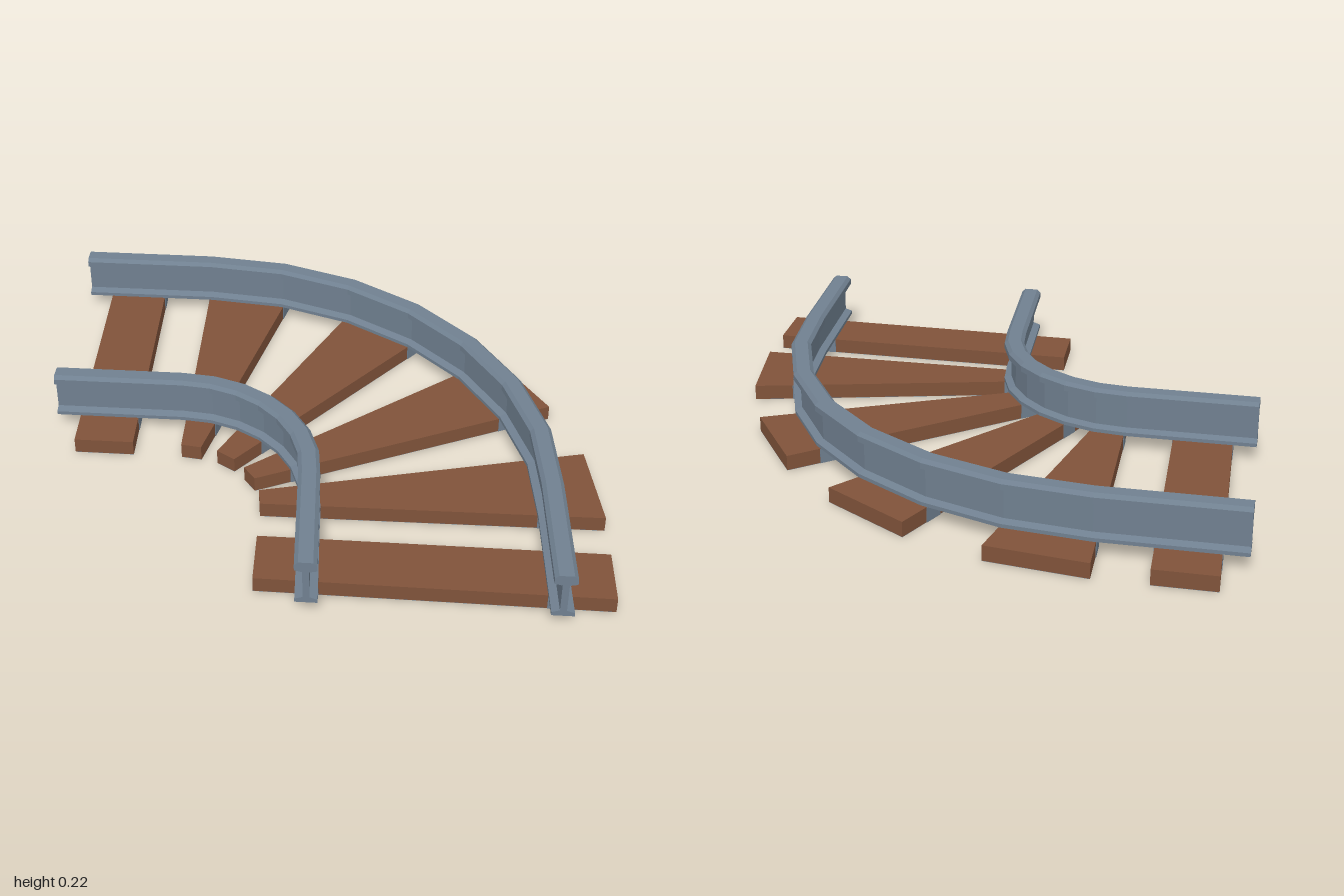
import * as THREE from 'three';

const steel = new THREE.MeshStandardMaterial({ color: 0x708090, flatShading: true });
const wood = new THREE.MeshStandardMaterial({ color: 0x80533a, flatShading: true });

// Centre of the bend, and the two rail radii
const CX = -0.51, CZ = 0.5;
const INNER = 0.495, OUTER = 1.3, HALF = 0.037;
const DRIFT = 0.028, RUN = 0.465; // the straight at the front splays slightly

// Distance of a point from the line the rails bend around
function trackRadius(x, z) {
  if (x < CX) return CZ - z;
  if (z > CZ) return x - CX - DRIFT * (z - CZ) / RUN;
  return Math.hypot(x - CX, z - CZ);
}

// Upright prism over a plan outline of [x, z] corners
function prism(corners, y0, y1, material, name) {
  const shape = new THREE.Shape(corners.map(([x, z]) => new THREE.Vector2(x, -z)));
  const geo = new THREE.ExtrudeGeometry(shape, { depth: y1 - y0, bevelEnabled: false });
  geo.rotateX(-Math.PI / 2).translate(0, y0, 0);
  const mesh = new THREE.Mesh(geo, material);
  mesh.name = name;
  return mesh;
}

// Rail section, right half from foot to head, then mirrored
const half = [[HALF, 0.055], [HALF, 0.068], [0.011, 0.077], [0.011, 0.181],
  [HALF, 0.187], [HALF, 0.208], [0.024, 0.22]];
const section = [...half, ...half.slice().reverse().map(([u, v]) => [-u, v])];

// Sweep the rail section along straight, bend, straight
function rail(radius, startX, name) {
  const stations = [{ x: startX, z: CZ - radius, nx: 0, nz: -1 }];
  const steps = 7;
  for (let i = 0; i <= steps; i++) {
    const a = (i / steps) * Math.PI / 2;
    const nx = Math.sin(a), nz = -Math.cos(a);
    stations.push({ x: CX + radius * nx, z: CZ + radius * nz, nx, nz });
  }
  stations.push({ x: CX + radius + DRIFT, z: CZ + RUN, nx: 1, nz: 0 });

  const pos = [];
  const put = (s, [u, v]) => pos.push(s.x + u * s.nx, v, s.z + u * s.nz);
  for (let i = 0; i < stations.length - 1; i++) {
    const s = stations[i], t = stations[i + 1];
    section.forEach((p, j) => {
      const q = section[(j + 1) % section.length];
      put(s, p); put(s, q); put(t, p);
      put(s, q); put(t, q); put(t, p);
    });
  }
  // End caps
  const outline = section.map(([u, v]) => new THREE.Vector2(u, v));
  const first = stations[0], last = stations[stations.length - 1];
  for (const [a, b, c] of THREE.ShapeUtils.triangulateShape(outline, [])) {
    put(last, section[a]); put(last, section[b]); put(last, section[c]);
    put(first, section[a]); put(first, section[c]); put(first, section[b]);
  }
  const geo = new THREE.BufferGeometry();
  geo.setAttribute('position', new THREE.Float32BufferAttribute(pos, 3));
  geo.computeVertexNormals();
  const mesh = new THREE.Mesh(geo, steel);
  mesh.name = name;
  return mesh;
}

// Point on a sleeper edge (outer end to inner end) at a given track radius
function crossing(outer, inner, radius) {
  let lo = 0, hi = 0.93;
  const at = t => [outer[0] + (inner[0] - outer[0]) * t, outer[1] + (inner[1] - outer[1]) * t];
  for (let i = 0; i < 30; i++) {
    const mid = (lo + hi) / 2;
    if (trackRadius(...at(mid)) > radius) lo = mid; else hi = mid;
  }
  return at(lo);
}

// Sleeper plans: outer end pair, then inner end pair
const sleepers = [
  [[-0.92, -0.975], [-0.71, -0.975], [-0.67, 0.187], [-0.88, 0.187]],
  [[-0.527, -0.975], [-0.18, -0.93], [-0.425, 0.198], [-0.497, 0.188]],
  [[0.10, -0.83], [0.40, -0.64], [-0.30, 0.257], [-0.366, 0.214]],
  [[0.612, -0.436], [0.81, -0.139], [-0.217, 0.358], [-0.26, 0.30]],
  [[0.922, 0.134], [0.98, 0.48], [-0.185, 0.492], [-0.195, 0.42]],
  [[0.986, 0.663], [0.995, 0.877], [-0.168, 0.866], [-0.176, 0.658]],
];

function sleeper(corners) {
  const group = new THREE.Group();
  group.name = 'sleeper';
  const [a, b, c, d] = corners;
  group.add(prism(corners, 0.001, 0.055, wood, 'sleeperBoard'));
  group.add(prism(corners, 0, 0.001, steel, 'sleeperUnderside'));
  // Steel rail seats let through the board, just proud of both sides
  for (const r of [INNER, OUTER]) {
    const seat = [crossing(a, d, r + HALF), crossing(b, c, r + HALF),
      crossing(b, c, r - HALF), crossing(a, d, r - HALF)];
    const push = (p, q) => {
      const len = Math.hypot(p[0] - q[0], p[1] - q[1]);
      return [p[0] + (p[0] - q[0]) / len * 0.002, p[1] + (p[1] - q[1]) / len * 0.002];
    };
    const [e, f, g, h] = seat;
    group.add(prism([push(e, f), push(f, e), push(g, h), push(h, g)], 0, 0.054, steel, 'railSeat'));
  }
  return group;
}

export function createModel() {
  const model = new THREE.Group();
  model.name = 'curvedTrack';
  model.add(rail(INNER, -0.97, 'innerRail'), rail(OUTER, -1, 'outerRail'));
  for (const corners of sleepers) model.add(sleeper(corners));
  return model;
}
